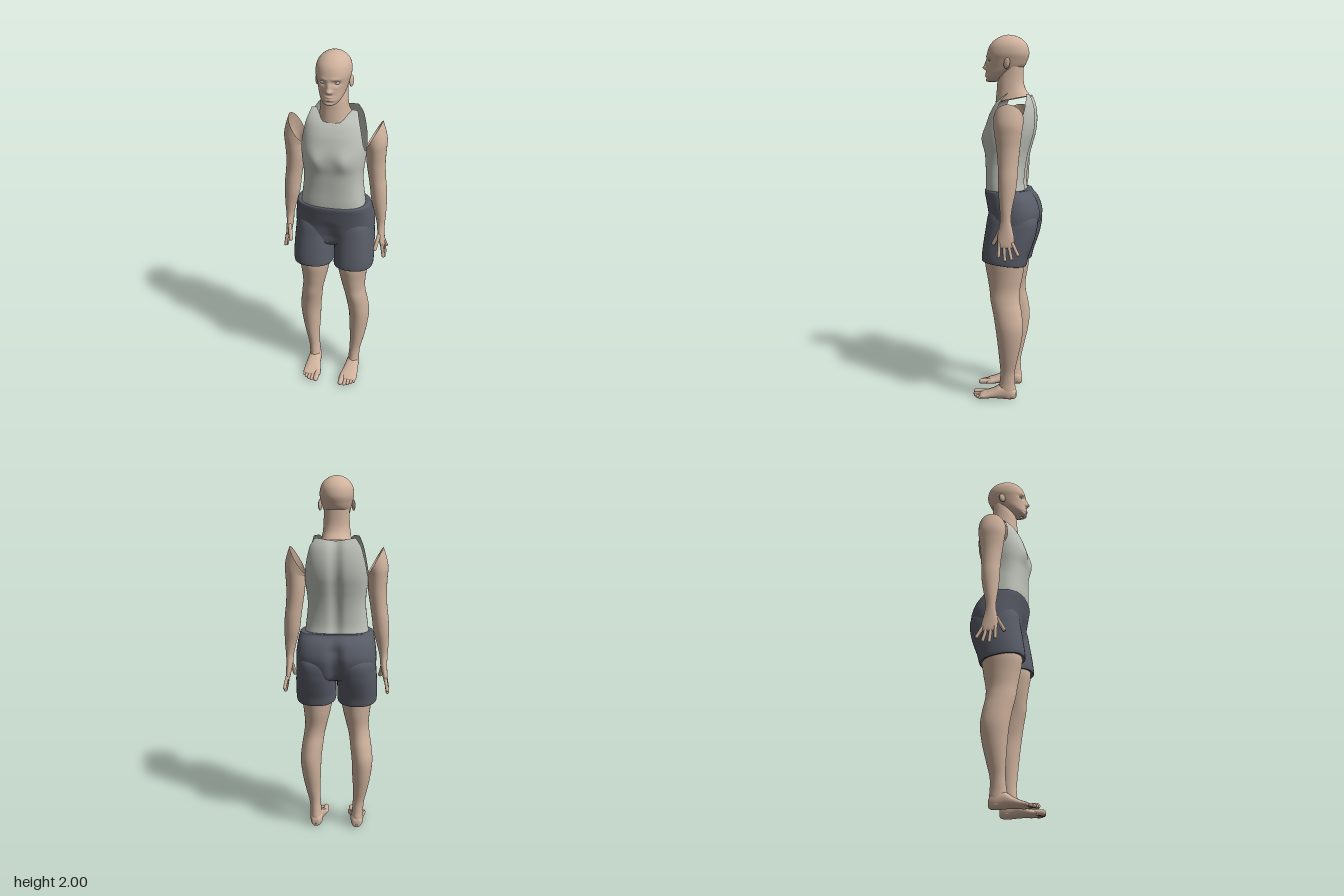
import * as THREE from 'three';

const mat = (name, color) => new THREE.MeshStandardMaterial({ name, color, side: THREE.DoubleSide });
const bump = (d, w) => Math.exp(-((d / w) ** 2));
const power = (v, e) => Math.sign(v) * Math.abs(v) ** e;

// Smooth interpolation between the listed cross-sections
function sectionAt(list, t) {
  const m = list.length - 1;
  const i = Math.min(Math.floor(t), m - 1), f = t - i;
  const [p0, p1, p2, p3] = [-1, 0, 1, 2].map((k) => list[Math.min(m, Math.max(0, i + k))]);
  return [0, 1, 2, 3, 4, 5].map((k) => {
    const [a, b, c, d] = [p0, p1, p2, p3].map((p) => p[k] || 0);
    return b + 0.5 * f * (c - a + f * (2 * a - 5 * b + 4 * c - d + f * (3 * (b - c) + d - a)));
  });
}

// Skin over cross-sections [y, centreX, radiusX, frontZ, backZ, tilt], bottom to top
function loft(list, { n = 2, seg = 40, sub = 6, side = 1, mod = null, limit = () => 1 } = {}) {
  const rows = (list.length - 1) * sub, pos = [], idx = [];
  for (let i = 0; i <= rows; i++) {
    for (let j = 0; j < seg; j++) {
      const a = (j / seg) * Math.PI * 2;
      const [y, cx, rx, zf, zb, tilt] = sectionAt(list, (i / sub) * limit(a));
      const dx = rx * power(Math.sin(a), 2 / n);
      const p = new THREE.Vector3(cx * side + dx, y + tilt * dx * side,
        (zf + zb) / 2 + ((zf - zb) / 2) * power(Math.cos(a), 2 / n));
      if (mod) mod(p, Math.cos(a));
      pos.push(p.x, p.y, p.z);
      if (i < rows) {
        const k = i * seg + j, r = i * seg + ((j + 1) % seg);
        idx.push(k, r, k + seg, r, r + seg, k + seg);
      }
    }
  }
  const g = new THREE.BufferGeometry();
  g.setAttribute('position', new THREE.Float32BufferAttribute(pos, 3));
  g.setIndex(idx);
  g.computeVertexNormals();
  return g;
}

// Rounded digit between two points
function digit(from, to, r) {
  const a = new THREE.Vector3(...from), b = new THREE.Vector3(...to), d = b.clone().sub(a);
  const g = new THREE.CapsuleGeometry(r, Math.max(0.001, d.length() - 2 * r), 5, 12);
  g.applyQuaternion(new THREE.Quaternion().setFromUnitVectors(new THREE.Vector3(0, 1, 0), d.normalize()));
  const c = a.add(b).multiplyScalar(0.5);
  return g.translate(c.x, c.y, c.z);
}

// Height of the vest's upper edge around the body: [degrees from front, y]
const VEST_EDGE = [[0, 1.64], [10, 1.645], [22, 1.67], [32, 1.69], [48, 1.685], [58, 1.62], [68, 1.53], [80, 1.485],
  [95, 1.475], [108, 1.5], [118, 1.57], [128, 1.645], [142, 1.685], [160, 1.68], [180, 1.67]];
function vestEdge(a) {
  const deg = THREE.MathUtils.radToDeg(Math.min(a, Math.PI * 2 - a));
  const k = Math.max(1, VEST_EDGE.findIndex(([d]) => d >= deg - 1e-6));
  const [d0, y0] = VEST_EDGE[k - 1], [d1, y1] = VEST_EDGE[k];
  return y0 + ((y1 - y0) * (deg - d0)) / (d1 - d0);
}

// Facial relief
function face(p, c) {
  if (c <= 0) return;
  const x = Math.abs(p.x), y = p.y;
  p.z += bump(x, 0.013) * (0.02 * bump(y - 1.828, 0.012) + 0.011 * bump(y - 1.85, 0.02)); // nose
  p.z += 0.006 * bump(x - 0.012, 0.008) * bump(y - 1.824, 0.008); // nostrils
  p.z -= 0.013 * bump(x - 0.036, 0.018) * bump(y - 1.866, 0.012); // eye sockets
  p.z += 0.004 * bump(x - 0.03, 0.025) * bump(y - 1.887, 0.008); // brows
  p.z += bump(x, 0.02) * (0.007 * bump(y - 1.798, 0.006) + 0.007 * bump(y - 1.784, 0.006)); // lips
  p.z -= 0.004 * bump(x, 0.03) * bump(y - 1.772, 0.006); // below the lip
}

export function createModel() {
  const skin = mat('skin', 0xd0b39e), vest = mat('vest grey', 0xc0c3bb);
  const cloth = mat('shorts slate', 0x595d68), pale = mat('eye white', 0xe4dad0);
  const model = new THREE.Group();
  model.name = 'standingFigure';
  const add = (parent, name, geo, m) => {
    const mesh = new THREE.Mesh(geo, m);
    mesh.name = name;
    parent.add(mesh);
    return mesh;
  };

  // Head and neck
  add(model, 'head', loft([
    [1.752, 0, 0.004, 0.1, 0.08], [1.757, 0, 0.03, 0.118, 0.045], [1.775, 0, 0.05, 0.12, 0.01],
    [1.8, 0, 0.064, 0.117, -0.04], [1.83, 0, 0.074, 0.115, -0.085], [1.865, 0, 0.083, 0.115, -0.105],
    [1.9, 0, 0.09, 0.113, -0.115], [1.94, 0, 0.085, 0.1, -0.108], [1.97, 0, 0.067, 0.075, -0.086],
    [1.99, 0, 0.04, 0.043, -0.054], [1.999, 0, 0.012, 0.012, -0.018], [2, 0, 0.001, 0, -0.003],
  ], { n: 2.1, seg: 80, sub: 9, mod: face }), skin);
  add(model, 'neck', loft([
    [1.655, 0, 0.084, 0.066, -0.125], [1.675, 0, 0.079, 0.064, -0.113], [1.71, 0, 0.073, 0.06, -0.095],
    [1.76, 0, 0.069, 0.054, -0.085], [1.83, 0, 0.066, 0.03, -0.085],
  ], { n: 2.2, mod: (p) => { p.y -= Math.max(0, 1.75 - p.y) * p.z * 2; } }), skin);

  // Sleeveless vest, open at neck and armholes
  add(model, 'vest', loft([
    [1.15, 0, 0.176, 0.113, -0.108], [1.205, 0, 0.17, 0.115, -0.1], [1.26, 0, 0.163, 0.115, -0.102],
    [1.315, 0, 0.158, 0.117, -0.109], [1.37, 0, 0.16, 0.12, -0.12], [1.425, 0, 0.167, 0.126, -0.135],
    [1.48, 0, 0.171, 0.124, -0.15], [1.535, 0, 0.171, 0.11, -0.157], [1.59, 0, 0.167, 0.09, -0.156],
    [1.645, 0, 0.161, 0.055, -0.145], [1.7, 0, 0.15, -0.015, -0.118],
  ], {
    n: 2.6, seg: 120, sub: 6, limit: (a) => (vestEdge(a) - 1.15) / 0.55,
    mod: (p, c) => {
      if (c > 0) p.z += 0.012 * bump(Math.abs(p.x) - 0.075, 0.04) * bump(p.y - 1.45, 0.05);
      else p.z += 0.018 * bump(p.x, 0.03) * -c;
    },
  }), vest);

  // Shorts: seat with centre cleft, then one leg per side below
  add(model, 'shortsSeat', loft([
    [0.9, 0, 0.08, 0.05, -0.1], [0.925, 0, 0.19, 0.085, -0.15], [0.98, 0, 0.215, 0.094, -0.174],
    [1.05, 0, 0.219, 0.1, -0.188], [1.12, 0, 0.211, 0.112, -0.168], [1.163, 0, 0.202, 0.12, -0.135],
    [1.176, 0, 0.194, 0.116, -0.127], [1.174, 0, 0.17, 0.1, -0.1],
  ], {
    n: 2.5, seg: 96,
    mod: (p, c) => {
      const fade = Math.min(1, Math.max(0, (1.165 - p.y) / 0.08));
      if (c < 0) p.z += 0.034 * bump(p.x, 0.032) * fade;
      else p.z -= 0.02 * bump(p.x, 0.05) * Math.min(1, Math.max(0, (1.08 - p.y) / 0.1));
    },
  }), cloth);

  for (const side of [1, -1]) {
    const tag = side > 0 ? 'left' : 'right';
    const half = new THREE.Group();
    half.name = tag + 'Limbs';
    model.add(half);

    add(half, tag + 'ShortsLeg', loft([
      [0.79, 0.112, 0.088, 0.1, -0.1], [0.781, 0.113, 0.105, 0.119, -0.115], [0.79, 0.114, 0.11, 0.124, -0.121],
      [0.83, 0.115, 0.111, 0.121, -0.13], [0.89, 0.114, 0.111, 0.113, -0.15], [0.96, 0.112, 0.109, 0.102, -0.17],
      [1.04, 0.108, 0.104, 0.088, -0.176], [1.1, 0.1, 0.08, 0.06, -0.13],
    ], { n: 2.3, side, mod: (p) => { p.y += p.z * 0.12; } }), cloth);

    add(half, tag + 'Leg', loft([
      [0.02, 0.118, 0.034, 0.02, -0.058], [0.06, 0.12, 0.034, 0.032, -0.062], [0.1, 0.122, 0.032, 0.027, -0.058],
      [0.16, 0.127, 0.033, 0.022, -0.058], [0.24, 0.137, 0.042, 0.027, -0.075], [0.33, 0.143, 0.053, 0.035, -0.095],
      [0.42, 0.146, 0.059, 0.046, -0.106], [0.5, 0.138, 0.06, 0.06, -0.098], [0.57, 0.128, 0.059, 0.076, -0.085],
      [0.63, 0.118, 0.063, 0.083, -0.085], [0.7, 0.112, 0.074, 0.095, -0.098], [0.78, 0.11, 0.086, 0.108, -0.11],
      [0.85, 0.11, 0.09, 0.1, -0.12],
    ], { side }), skin);

    // Foot runs heel to toe, then is laid flat; last two values are sole and instep
    add(half, tag + 'Foot', loft([
      [-0.066, 0.118, 0.006, -0.02, -0.04], [-0.06, 0.118, 0.024, -0.006, -0.06], [-0.03, 0.118, 0.035, 0, -0.085],
      [0.02, 0.118, 0.039, -0.002, -0.085], [0.06, 0.116, 0.045, -0.004, -0.06], [0.1, 0.112, 0.052, -0.002, -0.04],
      [0.125, 0.11, 0.052, -0.003, -0.031], [0.138, 0.106, 0.042, -0.007, -0.024], [0.144, 0.105, 0.005, -0.012, -0.018],
    ], { n: 2.3, side }).rotateX(Math.PI / 2), skin);
    [[0.076, 0.185, 0.015], [0.101, 0.181, 0.01], [0.12, 0.174, 0.0095], [0.138, 0.161, 0.009], [0.153, 0.145, 0.0085]]
      .forEach(([x, z, r], i) => add(half, `${tag}Toe${i + 1}`,
        digit([side * (x * 0.9 + 0.01), 0.022, 0.09], [side * x, r + 0.001, z], r), skin));

    // Arm and palm in one skin, cut open on a slant at the shoulder
    add(half, tag + 'Arm', loft([
      [0.888, 0.274, 0.003, -0.01, -0.05], [0.9, 0.272, 0.011, 0.008, -0.072], [0.94, 0.266, 0.015, 0.014, -0.075],
      [0.99, 0.26, 0.019, 0.008, -0.065], [1.04, 0.258, 0.022, 0, -0.056], [1.1, 0.253, 0.031, 0.004, -0.062],
      [1.18, 0.243, 0.042, 0.012, -0.078], [1.25, 0.237, 0.045, 0.015, -0.086], [1.32, 0.228, 0.046, 0.017, -0.09],
      [1.4, 0.22, 0.05, 0.025, -0.097], [1.47, 0.22, 0.053, 0.035, -0.105], [1.51, 0.221, 0.054, 0.04, -0.11, 0.6],
      [1.56, 0.207, 0.042, 0.042, -0.115, 1.75],
    ], { side }), skin);
    [[0.002, 0.006, 0.84], [-0.02, -0.028, 0.822], [-0.042, -0.064, 0.83], [-0.063, -0.1, 0.853]]
      .forEach(([z0, z1, y], i) => add(half, `${tag}Finger${i + 1}`,
        digit([side * 0.27, 0.925, z0], [side * 0.284, y, z1], 0.009), skin));
    add(half, tag + 'Thumb', digit([side * 0.256, 0.985, 0], [side * 0.238, 0.9, 0.045], 0.011), skin);

    // Ear and eye
    const ear = add(half, tag + 'Ear', new THREE.SphereGeometry(1, 16, 12), skin);
    ear.scale.set(0.009, 0.03, 0.018);
    ear.position.set(side * 0.088, 1.848, -0.008);
    ear.rotation.set(-0.2, side * -0.35, 0);
    const eye = add(half, tag + 'Eye', new THREE.SphereGeometry(1, 16, 12), pale);
    eye.scale.set(0.014, 0.007, 0.012);
    eye.position.set(side * 0.036, 1.866, 0.089);
  }
  return model;
}
